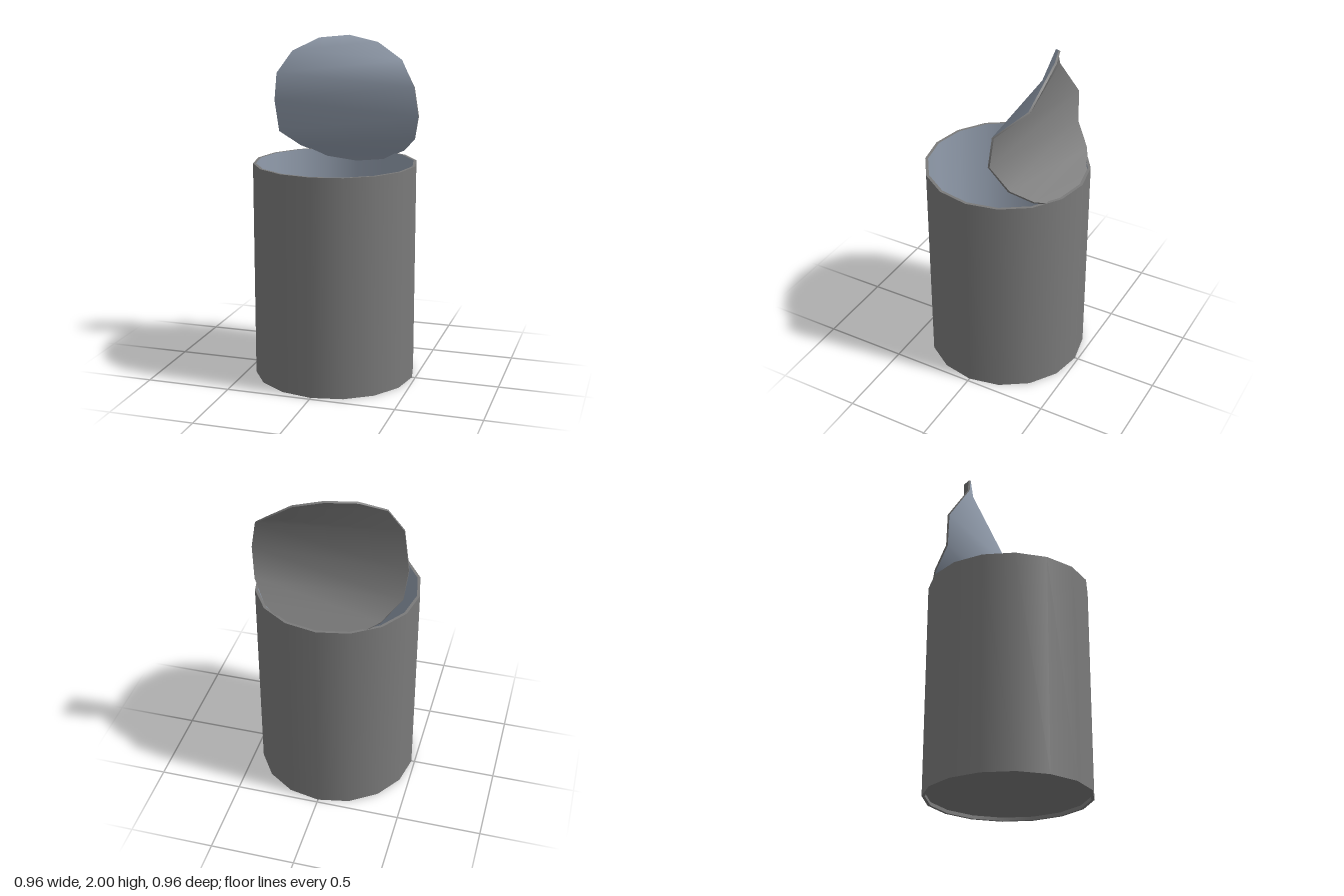
import * as THREE from 'three';

const SIDES = 16, R = 0.48, INNER = 0.463, H = 1.285;

// One ring of the can: rising profiles face outward, outgoing ones face down
function ring(name, material, r0, y0, r1, y1) {
  const profile = [new THREE.Vector2(r0, y0), new THREE.Vector2(r1, y1)];
  const mesh = new THREE.Mesh(new THREE.LatheGeometry(profile, SIDES), material);
  mesh.name = name;
  return mesh;
}

function surface(points, index) {
  const g = new THREE.BufferGeometry().setFromPoints(points);
  g.setIndex(index);
  g.computeVertexNormals();
  return g;
}

// Bent lid outline, counter-clockwise from the hinge at the bottom
const LID = [
  [0, 1.21, -0.45], [0.18, 1.235, -0.425], [0.33, 1.31, -0.34], [0.42, 1.4, -0.235],
  [0.462, 1.55, -0.135], [0.433, 1.72, -0.145], [0.32, 1.86, -0.3], [0.17, 1.96, -0.31],
  [0, 2, -0.288], [-0.17, 1.985, -0.225], [-0.31, 1.91, -0.14], [-0.4, 1.78, -0.112],
  [-0.453, 1.6, -0.215], [-0.43, 1.41, -0.23], [-0.33, 1.31, -0.34], [-0.18, 1.235, -0.425],
];

function buildLid(grey, blue) {
  const lid = new THREE.Group();
  lid.name = 'lid';
  const front = LID.map((p) => new THREE.Vector3(...p));
  const n = front.length;

  // Strips across the disc, joining the right outline to the left
  const index = [];
  for (let i = 0; i < n / 2; i++) {
    const l = (n - i) % n, l1 = n - i - 1;
    if (i > 0) index.push(l, i, i + 1);
    if (i < n / 2 - 1) index.push(l, i + 1, l1);
  }
  const frontGeo = surface(front, index);
  const normal = frontGeo.attributes.normal;
  const back = front.map((p, i) =>
    p.clone().addScaledVector(new THREE.Vector3().fromBufferAttribute(normal, i), -0.012));
  const backGeo = surface(back, index.slice().reverse());

  // Thin edge between the two faces
  const edgeIndex = [];
  for (let i = 0; i < n; i++) {
    const j = (i + 1) % n;
    edgeIndex.push(i, n + i, n + j, i, n + j, j);
  }
  const edgeGeo = surface([...front, ...back], edgeIndex);

  for (const [name, geo, mat] of [
    ['lidInside', frontGeo, blue], ['lidOutside', backGeo, grey], ['lidEdge', edgeGeo, grey],
  ]) {
    const mesh = new THREE.Mesh(geo, mat);
    mesh.name = name;
    lid.add(mesh);
  }
  return lid;
}

export function createModel() {
  const grey = new THREE.MeshStandardMaterial({ color: 0x7a7a7a });
  grey.name = 'grey metal';
  const blue = new THREE.MeshStandardMaterial({ color: 0x929dad });
  blue.name = 'blue-grey lining';

  const model = new THREE.Group();
  model.name = 'openCan';
  model.add(
    ring('outerWall', grey, R, 0, R, H),
    ring('topRim', grey, R, H, INNER, H),
    ring('innerWall', blue, INNER, H, INNER, 0.035),
    ring('floor', blue, INNER, 0.035, 0, 0.035),
    // Recessed base
    ring('bottomRim', grey, INNER, 0, R, 0),
    ring('bottomLip', grey, INNER, 0.02, INNER, 0),
    ring('base', grey, 0, 0.02, INNER, 0.02),
    buildLid(grey, blue),
  );
  return model;
}
